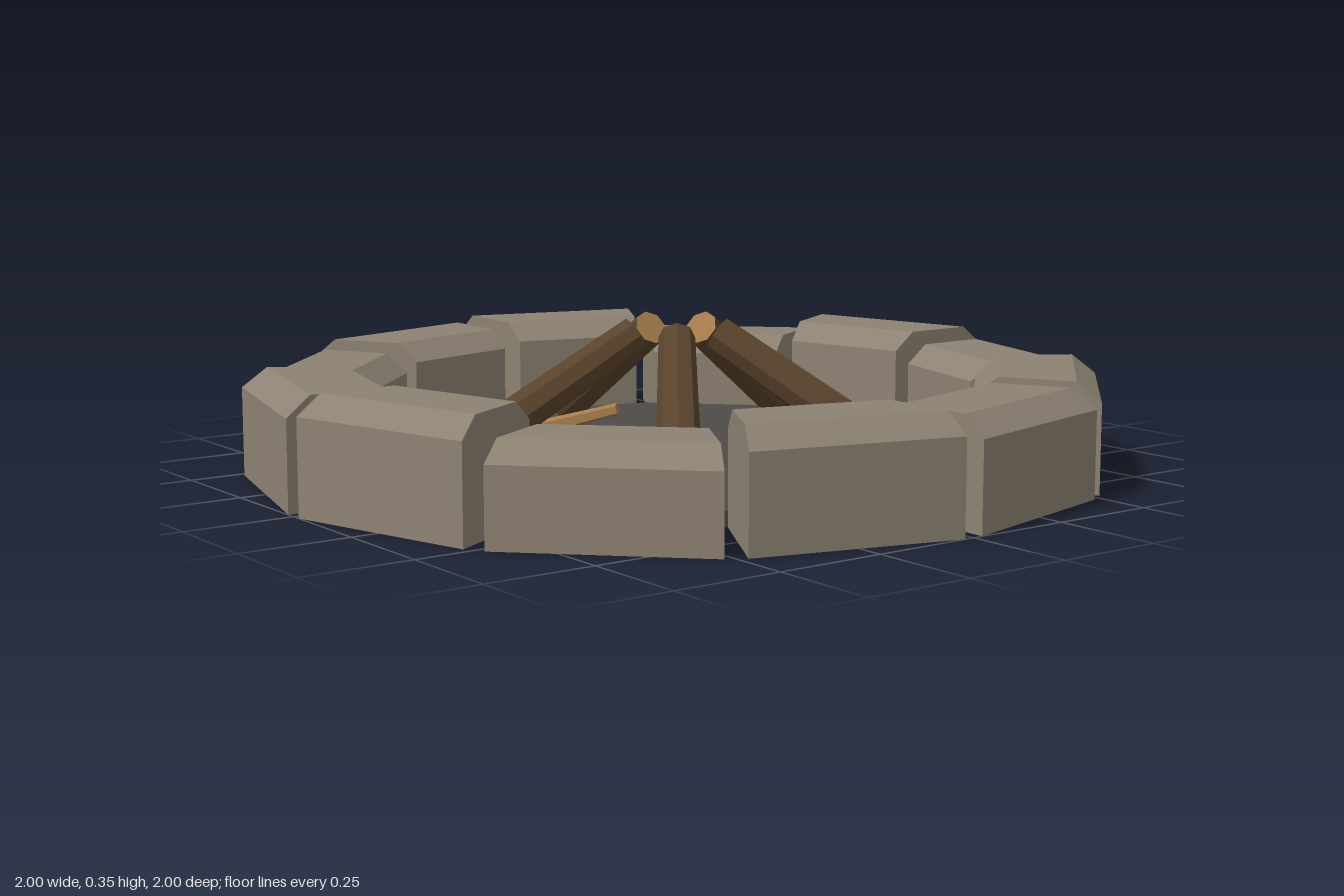
import * as THREE from 'three';

const mat = (name, color) => {
  const m = new THREE.MeshStandardMaterial({ color });
  m.name = name;
  m.flatShading = true;
  return m;
};

// Wedge-shaped kerb stone with a chamfered top; its sides run parallel to the gaps
function stoneGeometry(height) {
  const inner = 0.692, outer = 0.972, bevel = 0.055, low = height - 0.045;
  const section = new THREE.Shape([
    [inner, 0], [outer, 0], [outer, low], [outer - bevel, height], [inner + bevel, height], [inner, low],
  ].map(([r, y]) => new THREE.Vector2(r, y)));
  const geo = new THREE.ExtrudeGeometry(section, { depth: 1, bevelEnabled: false });
  const pos = geo.attributes.position;
  for (let i = 0; i < pos.count; i++) {
    const half = pos.getX(i) * Math.tan(Math.PI / 12) - 0.0243;
    pos.setZ(i, (pos.getZ(i) - 0.5) * 2 * half);
  }
  geo.computeVertexNormals();
  return geo;
}

// Tapered round bar leaning inwards along +x, from its low outer end to its high inner end
function leaningBar(name, low, high, rLow, rHigh, sides, materials) {
  const a = new THREE.Vector3(low[0], low[1], 0);
  const b = new THREE.Vector3(high[0], high[1], 0);
  const dir = b.clone().sub(a);
  const bar = new THREE.Mesh(new THREE.CylinderGeometry(rHigh, rLow, dir.length(), sides), materials);
  bar.position.copy(a).add(b).multiplyScalar(0.5);
  bar.quaternion.setFromUnitVectors(new THREE.Vector3(0, 1, 0), dir.normalize());
  bar.name = name;
  return bar;
}

export function createModel() {
  const model = new THREE.Group();
  model.name = 'firePit';
  const stone = mat('stone', 0x8d8272);
  const ash = mat('ash', 0x4e4b48);
  const bark = mat('bark', 0x5a432c);
  const cutWood = mat('cutWood', 0xa67c4c);

  // Ring of twelve stones of uneven height
  const ring = new THREE.Group();
  ring.name = 'stoneRing';
  const heights = [0.254, 0.215, 0.26, 0.245, 0.225, 0.25, 0.26, 0.217, 0.254, 0.243, 0.25, 0.227];
  heights.forEach((h, k) => {
    const block = new THREE.Mesh(stoneGeometry(h), stone);
    block.name = 'ringStone';
    block.rotation.y = (k + 0.5) * Math.PI / 6;
    ring.add(block);
  });
  model.add(ring);

  // Ash bed
  const bed = new THREE.Mesh(new THREE.CylinderGeometry(0.715, 0.715, 0.035, 12), ash);
  bed.name = 'ashBed';
  bed.position.y = 0.0175;
  model.add(bed);

  // Five logs leaning together
  for (let i = 0; i < 5; i++) {
    const arm = new THREE.Group();
    arm.name = 'logArm';
    arm.rotation.y = Math.PI / 2 + i * Math.PI * 2 / 5;
    arm.add(leaningBar('log', [0.458, 0.09], [0.1, 0.315], 0.05, 0.042, 8, [bark, cutWood, cutWood]));
    model.add(arm);
  }

  // Two kindling sticks on either side of the rear log
  for (const side of [-1, 1]) {
    const arm = new THREE.Group();
    arm.name = 'kindlingArm';
    arm.rotation.y = Math.PI / 2 + side * 0.625;
    arm.add(leaningBar('kindling', [0.375, 0.06], [0.145, 0.125], 0.02, 0.015, 5, cutWood));
    model.add(arm);
  }
  return model;
}
